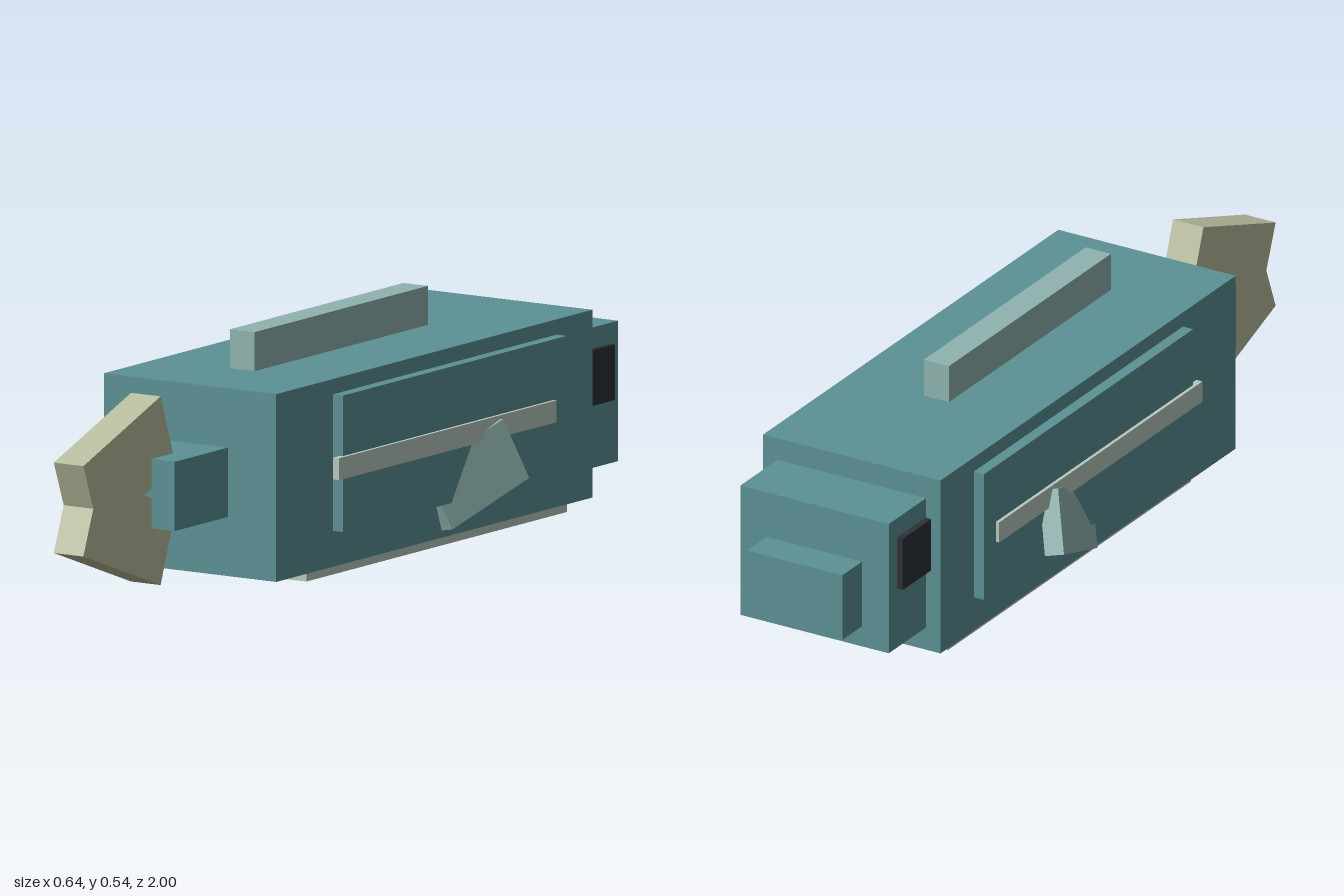
import * as THREE from 'three';

const material = (name, color) => {
  const m = new THREE.MeshStandardMaterial({ color });
  m.name = name;
  return m;
};

export function createModel() {
  const fish = new THREE.Group();
  fish.name = 'blockFish';

  const teal = material('teal scales', 0x5c9194);
  const paleTeal = material('pale teal fins', 0x8fb3ae);
  const cream = material('pale belly', 0xb6c9be);
  const olive = material('olive tail', 0xb8bc9d);
  const dark = material('dark eye', 0x2c3138);

  // Box given by its limits along each axis
  function block(name, mat, [x0, x1], [y0, y1], [z0, z1]) {
    const mesh = new THREE.Mesh(new THREE.BoxGeometry(x1 - x0, y1 - y0, z1 - z0), mat);
    mesh.position.set((x0 + x1) / 2, (y0 + y1) / 2, (z0 + z1) / 2);
    mesh.name = name;
    fish.add(mesh);
    return mesh;
  }

  // Body, head (towards -z) and tail stem
  block('body', teal, [-0.233, 0.233], [0.025, 0.453], [-0.755, 0.513]);
  block('head', teal, [-0.195, 0.195], [0.08, 0.4], [-0.915, -0.755]);
  block('snout', teal, [-0.125, 0.125], [0.13, 0.29], [-1, -0.915]);
  block('tailStem', teal, [-0.103, 0.103], [0.16, 0.318], [0.513, 0.727]);
  block('belly', cream, [-0.21, 0.21], [0, 0.025], [-0.688, 0.358]);
  block('dorsalFin', paleTeal, [-0.033, 0.033], [0.453, 0.542], [-0.392, 0.304]);

  // Paired parts on both flanks
  for (const s of [1, -1]) {
    const side = s > 0 ? 'left' : 'right';
    const span = (a, b) => (s > 0 ? [a, b] : [-b, -a]);
    block(side + 'FlankPanel', teal, span(0.233, 0.26), [0.107, 0.418], [-0.612, 0.286]);
    block(side + 'Stripe', cream, span(0.252, 0.268), [0.23, 0.28], [-0.56, 0.313]);
    block(side + 'Eye', dark, span(0.195, 0.21), [0.226, 0.353], [-0.88, -0.757]);

    // Pectoral fin: a thin slab tilted out of the flank
    const fin = new THREE.Mesh(new THREE.BoxGeometry(0.045, 0.149, 0.252), paleTeal);
    fin.position.set(s * 0.2535, 0.157, -0.24);
    fin.rotation.set(0.366, s * -0.212, s * 0.29);
    fin.name = side + 'PectoralFin';
    fish.add(fin);
  }

  // Two-lobed tail fin, outline in (z, y), notched at both ends
  const outline = [
    [0.69, 0.455], [0.629, 0.286], [0.755, 0.24], [0.629, 0.194],
    [0.69, 0.025], [1, 0.137], [0.96, 0.24], [1, 0.343],
  ];
  const shape = new THREE.Shape(outline.map(([z, y]) => new THREE.Vector2(-z, y)));
  const tailGeometry = new THREE.ExtrudeGeometry(shape, { depth: 0.08, bevelEnabled: false });
  tailGeometry.translate(0, 0, -0.04);
  tailGeometry.rotateY(Math.PI / 2);
  const tail = new THREE.Mesh(tailGeometry, olive);
  tail.name = 'tailFin';
  fish.add(tail);

  return fish;
}
